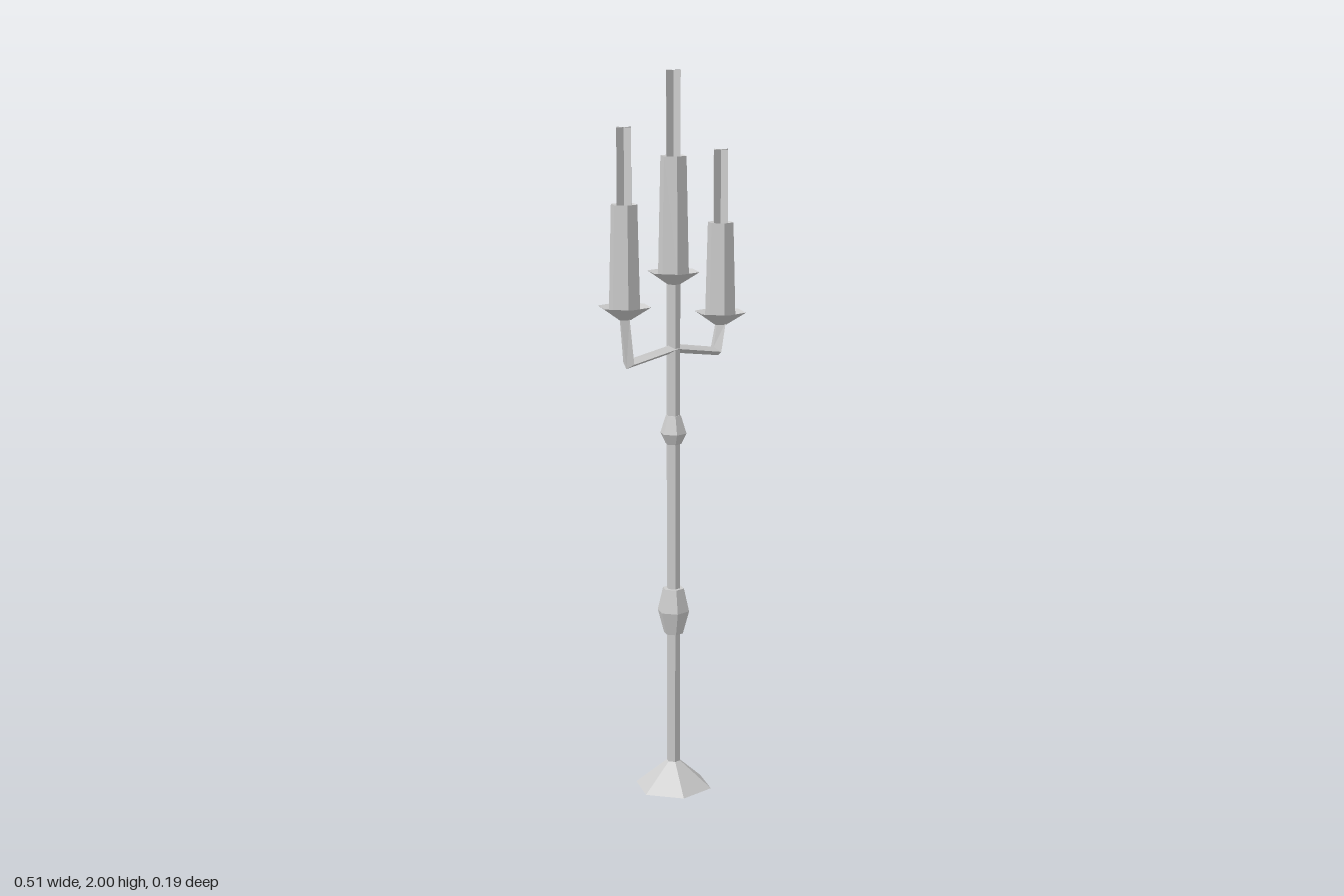
import * as THREE from 'three';

const metal = new THREE.MeshStandardMaterial({ color: 0xcccccc, side: THREE.DoubleSide });
metal.name = 'pale grey';

function addMesh(parent, name, geometry) {
  const flat = geometry.index ? geometry.toNonIndexed() : geometry;
  flat.computeVertexNormals();
  const mesh = new THREE.Mesh(flat, metal);
  mesh.name = name;
  parent.add(mesh);
  return mesh;
}

// Six-sided turned part with corners on the x axis; profile is [radius, y] from the bottom up
function hexTurned(profile) {
  return new THREE.LatheGeometry(profile.map(([r, y]) => new THREE.Vector2(r, y)), 6, Math.PI / 2);
}

// Diamond-section bar along [x, y, nx, ny, halfDepth] stations
function diamondBar(stations) {
  const rings = stations.map(([x, y, nx, ny, d]) => [
    [x + nx, y + ny, 0], [x, y, d], [x - nx, y - ny, 0], [x, y, -d],
  ]);
  const pos = [];
  for (let i = 0; i < rings.length - 1; i++) {
    for (let k = 0; k < 4; k++) {
      const a = rings[i][k], b = rings[i][(k + 1) % 4];
      const c = rings[i + 1][k], d = rings[i + 1][(k + 1) % 4];
      pos.push(...a, ...b, ...d, ...a, ...d, ...c);
    }
  }
  const geometry = new THREE.BufferGeometry();
  geometry.setAttribute('position', new THREE.Float32BufferAttribute(pos, 3));
  return geometry;
}

// Drip pan, tapered candle with sunken top, and crossed flame planes
function candle(name, x, rimY, topY, flameY) {
  const group = new THREE.Group();
  group.name = name;
  group.position.x = x;
  addMesh(group, 'dripPan', hexTurned([
    [0, rimY - 0.035], [0.018, rimY - 0.035], [0.073, rimY], [0.04, rimY - 0.015],
  ]));
  addMesh(group, 'candleBody', hexTurned([
    [0.043, rimY - 0.014], [0.036, topY], [0, topY - 0.015],
  ]));
  const bottom = topY - 0.012;
  for (const turn of [0, Math.PI / 2]) {
    const plane = new THREE.PlaneGeometry(0.054, flameY - bottom);
    const mesh = addMesh(group, 'flamePlane', plane);
    mesh.position.y = (flameY + bottom) / 2;
    mesh.rotation.y = turn;
  }
  return group;
}

export function createModel() {
  const model = new THREE.Group();
  model.name = 'candelabrum';

  // Base and post
  addMesh(model, 'base', hexTurned([[0, 0], [0.109, 0], [0.019, 0.075], [0, 0.075]]));
  addMesh(model, 'post', hexTurned([[0.019, 0.07], [0.019, 1.44]]));

  // Swellings on the post
  addMesh(model, 'lowerKnob', hexTurned([
    [0.018, 0.45], [0.027, 0.45], [0.045, 0.515], [0.03, 0.58], [0.018, 0.58],
  ]));
  addMesh(model, 'upperKnob', hexTurned([
    [0.018, 0.99], [0.022, 0.99], [0.037, 1.02], [0.021, 1.07], [0.018, 1.07],
  ]));

  // Arms: the right one is built along +x and turned half round
  addMesh(model, 'leftArm', diamondBar([
    [0, 1.255, 0.002, 0.012, 0.019], [0.167, 1.226, -0.009, 0.013, 0.021], [0.186, 1.305, -0.014, 0.003, 0.019],
  ]));
  const rightArm = addMesh(model, 'rightArm', diamondBar([
    [0, 1.255, -0.002, 0.012, 0.019], [0.169, 1.234, -0.009, 0.013, 0.021], [0.184, 1.36, -0.014, 0.002, 0.019],
  ]));
  rightArm.rotation.y = Math.PI;

  // Candles
  model.add(candle('middleCandle', 0, 1.465, 1.775, 2));
  model.add(candle('rightCandle', -0.184, 1.39, 1.66, 1.86));
  model.add(candle('leftCandle', 0.184, 1.334, 1.582, 1.78));
  return model;
}
